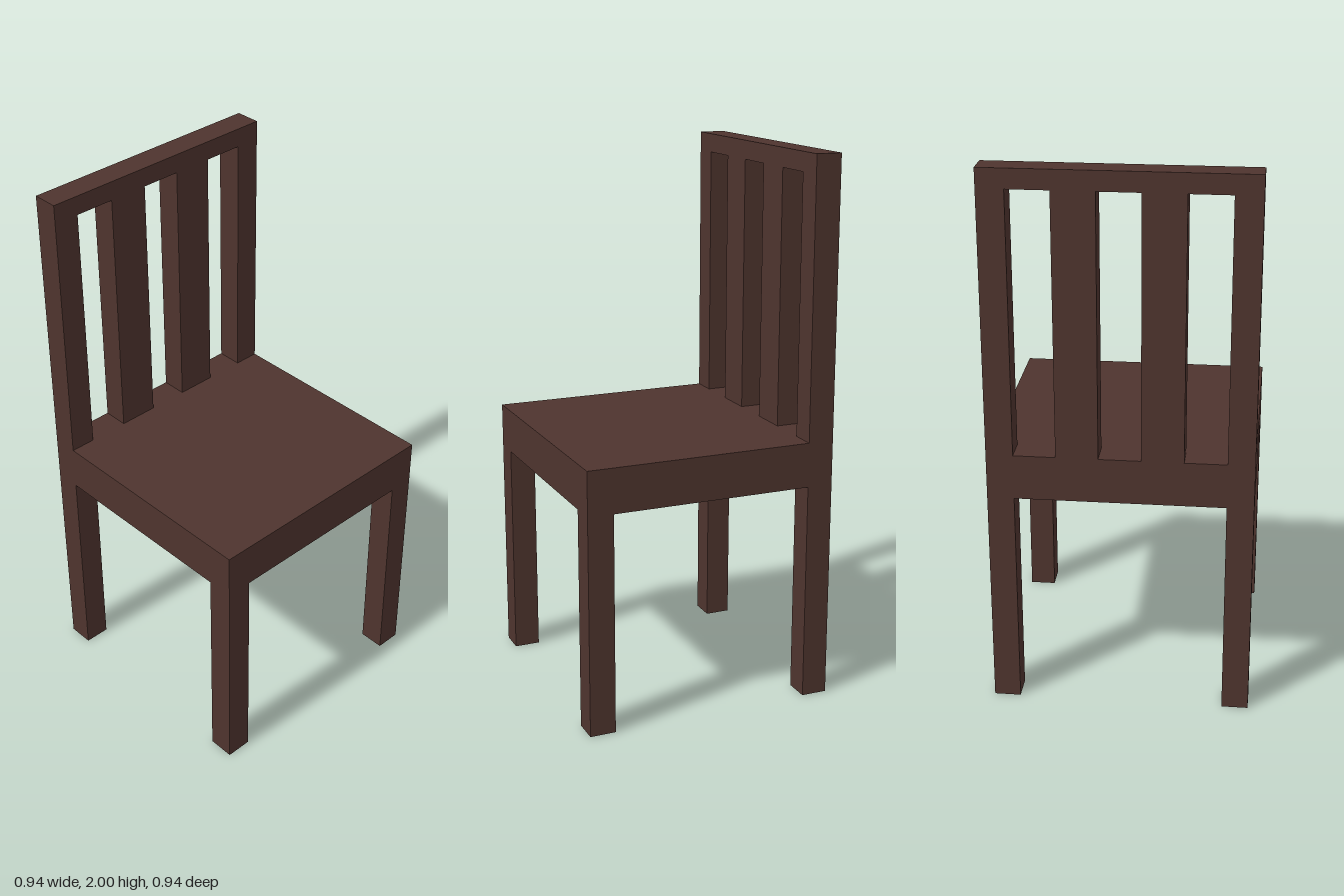
import * as THREE from 'three';

const HALF = 0.47;    // half of the seat width and depth
const POST = 0.096;   // thickness of legs, posts and backrest
const SEAT_BOTTOM = 0.815;
const SEAT_TOP = 0.98;
const RAIL_BOTTOM = 1.93;
const TOP = 2;

export function createModel() {
  const chair = new THREE.Group();
  chair.name = 'chair';
  const wood = new THREE.MeshStandardMaterial({ color: 0x4e342e });

  // Box given by its x centre, width, y range, z centre and depth
  const addBox = (name, x, width, y0, y1, z, depth) => {
    const mesh = new THREE.Mesh(new THREE.BoxGeometry(width, y1 - y0, depth), wood);
    mesh.name = name;
    mesh.position.set(x, (y0 + y1) / 2, z);
    chair.add(mesh);
  };

  const postCentre = HALF - POST / 2;
  const inner = HALF - POST;

  // Thick square seat
  addBox('seat', 0, 2 * HALF, SEAT_BOTTOM, SEAT_TOP, 0, 2 * HALF);

  // Legs, with the back posts rising above the rear pair
  for (const [side, s] of [['left', 1], ['right', -1]]) {
    addBox(`${side}FrontLeg`, s * postCentre, POST, 0, SEAT_BOTTOM, postCentre, POST);
    addBox(`${side}BackLeg`, s * postCentre, POST, 0, SEAT_BOTTOM, -postCentre, POST);
    addBox(`${side}BackPost`, s * postCentre, POST, SEAT_TOP, RAIL_BOTTOM, -postCentre, POST);
  }

  // Two slats, as wide as the three gaps between the posts
  const slat = (2 * inner) / 5;
  for (const [side, s] of [['left', 1], ['right', -1]]) {
    addBox(`${side}BackSlat`, s * slat, slat, SEAT_TOP, RAIL_BOTTOM, -postCentre, POST);
  }

  // Rail across the top of the backrest
  addBox('topRail', 0, 2 * HALF, RAIL_BOTTOM, TOP, -postCentre, POST);

  return chair;
}
